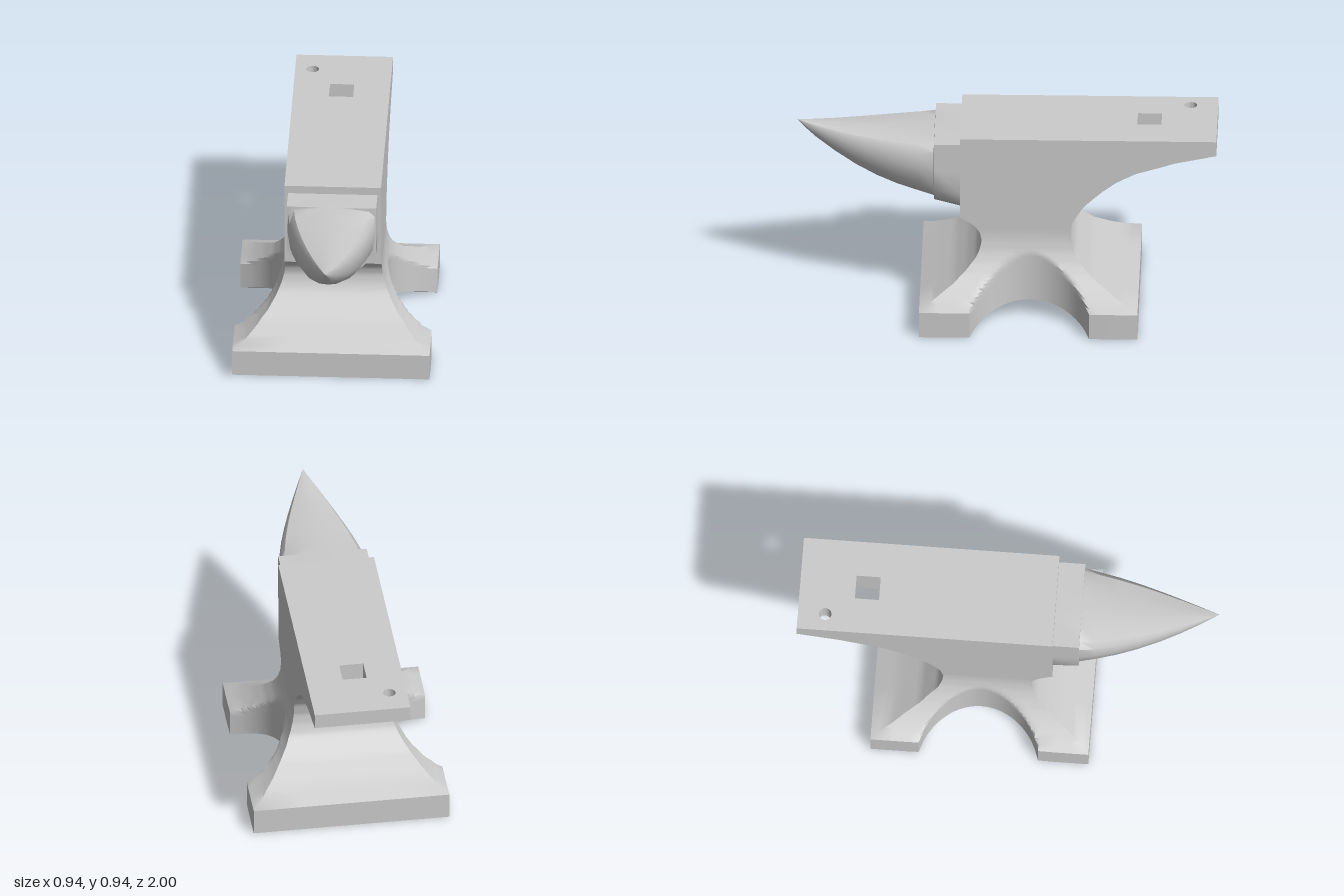
import * as THREE from 'three';
import { mergeGeometries, toCreasedNormals } from 'three/addons/utils/BufferGeometryUtils.js';

const TOP = 0.94, HALF = 0.23, HEEL = -0.62;

// Piecewise-linear lookup in a list of [key, value]
function lookup(table, k) {
  if (k <= table[0][0]) return table[0][1];
  for (let i = 1; i < table.length; i++) {
    const [k0, a] = table[i - 1], [k1, b] = table[i];
    if (k <= k1) return a + (b - a) * (k - k0) / (k1 - k0);
  }
  return table[table.length - 1][1];
}

const FRONT = [[0, 0.41], [0.13, 0.41], [0.18, 0.32], [0.22, 0.25], [0.27, 0.19], [0.32, 0.145], [0.36, 0.125],
  [0.40, 0.117], [0.44, 0.125], [0.48, 0.155], [0.52, 0.22]];
const BACK = [[0, -0.63], [0.13, -0.63], [0.18, -0.52], [0.25, -0.405], [0.33, -0.325], [0.38, -0.305], [0.43, -0.30],
  [0.50, -0.315], [0.58, -0.365], [0.66, -0.45], [0.72, -0.53], [0.765, HEEL]];
const FLARE = [[0, 0.47], [0.13, 0.47], [0.16, 0.415], [0.20, 0.36], [0.25, 0.308], [0.30, 0.272], [0.35, 0.248],
  [0.40, 0.235], [0.44, HALF]];
const UNDER = [[-1, 0.865], [-0.94, 0.852], [-0.8, 0.822], [-0.735, 0.80], [HEEL, 0.765]];

// Round bite out of each side of the base, and the arch under it
const MID = -0.115;
function bite(z) {
  const d = Math.abs(z - MID);
  return d > 0.285 ? 9 : 0.545 - Math.sqrt(0.295 ** 2 - d * d);
}
function arch(z) {
  const d = (z - MID) / 0.285;
  return Math.abs(d) >= 1 ? 0 : Math.sqrt(0.4742 ** 2 - (0.285 * d) ** 2) - 0.379;
}
const halfWidth = (y, z) => Math.max(HALF, Math.min(lookup(FLARE, y), bite(z)));

// Sheet of quads through f(u, v) -> [x, y, z], leaving out empty triangles
function sheet(f, us, vs, flip = false) {
  const out = [];
  const tri = (a, b, c) => {
    const p = [a, b, c].map((q) => new THREE.Vector3(...q));
    if (new THREE.Triangle(...p).getArea() < 1e-8) return;
    out.push(...a, ...(flip ? c : b), ...(flip ? b : c));
  };
  for (let i = 1; i < us.length; i++) {
    for (let j = 1; j < vs.length; j++) {
      const a = f(us[i - 1], vs[j - 1]), b = f(us[i], vs[j - 1]);
      const c = f(us[i], vs[j]), d = f(us[i - 1], vs[j]);
      tri(a, b, c);
      tri(a, c, d);
    }
  }
  const g = new THREE.BufferGeometry();
  g.setAttribute('position', new THREE.Float32BufferAttribute(out, 3));
  return g;
}

function bare(g) {
  const n = g.index ? g.toNonIndexed() : g;
  n.deleteAttribute('normal');
  n.deleteAttribute('uv');
  return n;
}

function makeMesh(name, parts, side = THREE.FrontSide) {
  const geometry = toCreasedNormals(mergeGeometries(parts.map(bare)), 0.7);
  const mesh = new THREE.Mesh(geometry, new THREE.MeshStandardMaterial({ color: 0xcccccc, side }));
  mesh.name = name;
  return mesh;
}

const range = (a, b, n) => Array.from({ length: n + 1 }, (_, i) => a + (b - a) * i / n);

// Feet, waist and upper block, lofted upward
function body() {
  const ys = [...range(0, 0.13, 8), ...range(0.13, 0.52, 26).slice(1), ...range(0.52, 0.765, 10).slice(1), TOP];
  const zs = [-0.63, -0.52, HEEL + 0.17, ...range(MID - 0.285, MID + 0.285, 28), 0.25, 0.33, 0.41]
    .sort((a, b) => a - b);
  const xs = range(-1, 1, 4);
  const parts = [];
  for (const s of [-1, 1]) {
    parts.push(sheet((z0, y) => {
      const z = THREE.MathUtils.clamp(z0, lookup(BACK, y), lookup(FRONT, y));
      return [s * halfWidth(y, z), Math.max(y, arch(z)), z];
    }, [-0.7, ...zs], ys, s > 0));
  }
  for (const [edge, flip] of [[FRONT, false], [BACK, true]]) {
    parts.push(sheet((u, y) => {
      const z = lookup(edge, y);
      return [u * halfWidth(y, z), y, z];
    }, xs, ys, flip));
  }
  parts.push(sheet((u, z) => [u * halfWidth(0, z), arch(z), z], xs, zs));
  return makeMesh('body', parts);
}

const SQUARE = { x: 0, z: -0.6775, r: 0.0575 };
const ROUND = { x: -0.147, z: -0.87, r: 0.03 };

// Flat rectangle in x and z (sign -1 faces up, +1 faces down), with holes
function plate(x0, x1, z0, z1, sign, holes = []) {
  const shape = new THREE.Shape([[x0, z0], [x1, z0], [x1, z1], [x0, z1]]
    .map(([x, z]) => new THREE.Vector2(x, sign * z)));
  for (const h of holes) {
    const path = new THREE.Path();
    if (h === ROUND) path.absarc(h.x, sign * h.z, h.r, 0, Math.PI * 2);
    else path.setFromPoints([[-1, -1], [1, -1], [1, 1], [-1, 1]]
      .map(([a, b]) => new THREE.Vector2(h.x + a * h.r, sign * h.z + b * h.r)));
    shape.holes.push(path);
  }
  return new THREE.ShapeGeometry(shape, 12).rotateX(sign * Math.PI / 2);
}

// Overhanging heel: curved underside in strips, sides and end
function heel() {
  const r = SQUARE.r;
  const under = [
    plate(-HALF, HALF, -1, -0.94, 1),
    plate(-HALF, HALF, -0.94, -0.8, 1, [ROUND]),
    plate(-HALF, HALF, -0.8, -0.735, 1),
    plate(-HALF, -r, -0.735, HEEL, 1),
    plate(r, HALF, -0.735, HEEL, 1),
  ];
  for (const g of under) {
    const p = g.attributes.position;
    for (let i = 0; i < p.count; i++) p.setY(i, lookup(UNDER, p.getZ(i)));
  }
  const zs = UNDER.map((p) => p[0]);
  const sides = [-1, 1].map((s) => sheet(
    (z, v) => [s * HALF, v ? TOP : lookup(UNDER, z), z], zs, [0, 1], s > 0));
  const end = sheet((x, y) => [x, y, -1], [-HALF, HALF], [0.865, TOP], true);
  return makeMesh('heel', [...under, ...sides, end]);
}

// Inner wall of a hole, with its lower rim following the underside
function holeWall(name, h, segments, turn) {
  const radius = segments === 4 ? h.r * Math.SQRT2 : h.r;
  const g = new THREE.CylinderGeometry(radius, radius, 1, segments, 1, true).rotateY(turn);
  g.translate(h.x, 0, h.z);
  const p = g.attributes.position;
  for (let i = 0; i < p.count; i++) p.setY(i, p.getY(i) > 0 ? TOP : lookup(UNDER, p.getZ(i)));
  return makeMesh(name, [g], THREE.DoubleSide);
}

// Square-shouldered step that runs out into a pointed horn
function horn() {
  const blocky = [[0, 0], [0.45, 0], [0.85, 0], [1, 0], [1, 0.4], [1, 0.7], [0.68, 0.95], [0.35, 1], [0, 1]];
  const round = [[0, 0], [0.45, 0.02], [0.85, 0.06], [0.98, 0.16], [1, 0.4], [0.92, 0.66], [0.66, 0.88], [0.35, 0.975], [0, 1]];
  // z, half width, top, bottom, roundness
  const stations = [[0.22, 0.213, 0.9, 0.52, 0], [0.345, 0.213, 0.9, 0.555, 0], [0.346, 0.21, 0.899, 0.555, 0.8],
    [0.42, 0.2, 0.897, 0.574, 1], [0.52, 0.177, 0.896, 0.605, 1], [0.62, 0.148, 0.896, 0.645, 1],
    [0.72, 0.114, 0.898, 0.697, 1], [0.82, 0.076, 0.902, 0.762, 1], [0.91, 0.039, 0.909, 0.83, 1],
    [0.97, 0.013, 0.914, 0.885, 1], [1, 0, 0.918, 0.918, 1]];
  const n = blocky.length - 1;
  const skin = sheet((i, [z, w, top, bottom, r]) => {
    const k = i <= n ? i : 2 * n - i;
    const [a, b] = [0, 1].map((c) => THREE.MathUtils.lerp(blocky[k][c], round[k][c], r));
    return [(i <= n ? -1 : 1) * a * w, top - b * (top - bottom), z];
  }, range(0, 2 * n, 2 * n), stations);
  return makeMesh('horn', [skin]);
}

export function createModel() {
  const group = new THREE.Group();
  group.name = 'anvil';
  group.add(
    body(),
    heel(),
    makeMesh('face', [plate(-HALF, HALF, -1, 0.22, -1, [SQUARE, ROUND]).translate(0, TOP, 0)]),
    holeWall('squareHole', SQUARE, 4, Math.PI / 4),
    holeWall('roundHole', ROUND, 24, 0),
    horn(),
  );
  return group;
}
